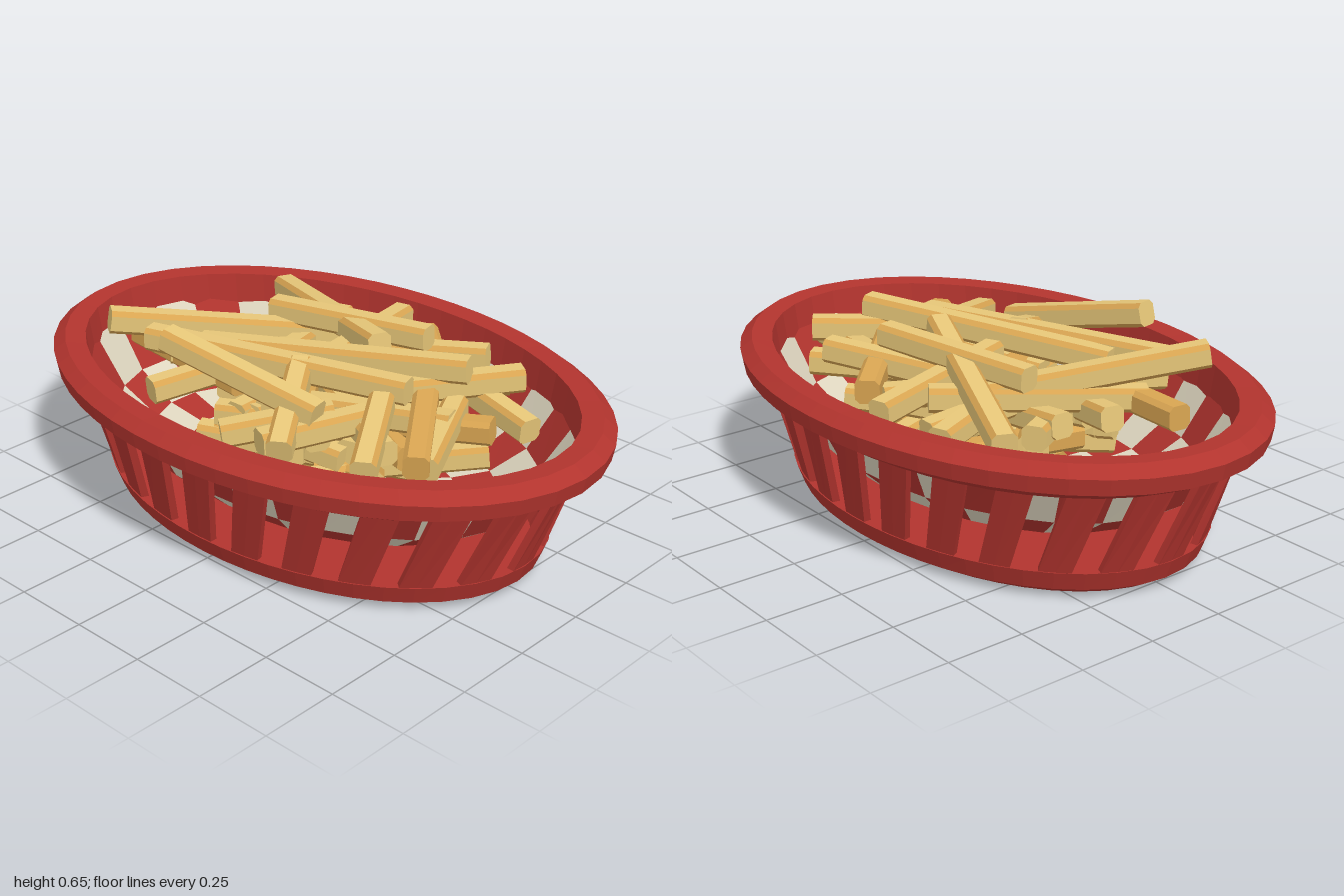
import * as THREE from 'three';

const mat = (name, color, side = THREE.FrontSide) => {
  const m = new THREE.MeshStandardMaterial({ color, flatShading: true, side });
  m.name = name;
  return m;
};

// Ellipse angle for a fraction of the way round, with even steps along the edge
const STEPS = 720, arc = [0];
for (let i = 0; i < STEPS; i++) {
  const t = ((i + 0.5) / STEPS) * Math.PI * 2;
  arc.push(arc[i] + Math.hypot(0.86 * Math.cos(t), 0.57 * Math.sin(t)));
}
function angleAt(fraction) {
  const turns = Math.floor(fraction), s = (fraction - turns) * arc[STEPS];
  let i = 0;
  while (i < STEPS - 1 && arc[i + 1] < s) i++;
  return (turns + (i + (s - arc[i]) / (arc[i + 1] - arc[i])) / STEPS) * Math.PI * 2;
}

// Elliptical loft through rings [rx, rz, y]; keep(i, j) picks the cells to build
function loft(rings, segs, keep = () => true) {
  const pos = [];
  const at = (j, i) => {
    const t = angleAt(i / segs), [rx, rz, y] = rings[j];
    return [rx * Math.sin(t), y, rz * Math.cos(t)];
  };
  for (let j = 0; j < rings.length - 1; j++) {
    for (let i = 0; i < segs; i++) {
      if (!keep(i, j)) continue;
      const a = at(j, i), b = at(j, i + 1), c = at(j + 1, i + 1), d = at(j + 1, i);
      if (rings[j][0] > 0) pos.push(...a, ...b, ...c);
      if (rings[j + 1][0] > 0) pos.push(...a, ...c, ...d);
    }
  }
  const g = new THREE.BufferGeometry();
  g.setAttribute('position', new THREE.Float32BufferAttribute(pos, 3));
  g.computeVertexNormals();
  return g;
}

// Slanted slat: a box bent onto the sloping elliptical wall
function slatGeometry(start) {
  const g = new THREE.BoxGeometry(1, 1, 1, 2, 1, 1), p = g.attributes.position;
  for (let i = 0; i < p.count; i++) {
    const h = p.getY(i) + 0.5, off = (p.getZ(i) - 0.5) * 0.025;
    const t = angleAt(start + p.getX(i) * 0.0225 + h * 0.0145);
    p.setXYZ(i,
      (0.805 + 0.1 * h + off) * Math.sin(t),
      0.08 + 0.29 * h,
      (0.53 + 0.075 * h + off) * Math.cos(t));
  }
  g.computeVertexNormals();
  return g;
}

// Square stick one unit long along z, with the four cut corners as material 1
function fryGeometry() {
  const a = 0.038, c = 0.024, s = new THREE.Shape();
  [[a, -c], [a, c], [c, a], [-c, a], [-a, c], [-a, -c], [-c, -a], [c, -a]]
    .forEach(([x, y], i) => (i ? s.lineTo(x, y) : s.moveTo(x, y)));
  const g = new THREE.ExtrudeGeometry(s, { depth: 1, bevelEnabled: false }).translate(0, 0, -0.5);
  const first = g.groups[1].start;
  g.clearGroups();
  g.addGroup(0, first, 0);
  for (let i = 0; i < 8; i++) g.addGroup(first + i * 6, 6, i % 2);
  return g;
}

export function createModel() {
  const model = new THREE.Group();
  const red = mat('basket red', 0xb2342e);
  const linerRed = mat('liner red', 0xb2342e, THREE.DoubleSide);
  const cream = mat('liner cream', 0xdfd7c0, THREE.DoubleSide);
  const potato = mat('fried potato', 0xe6c678);
  const golden = mat('golden potato', 0xd9a552);
  const add = (name, geo, material, parent = model) => {
    const m = new THREE.Mesh(geo, material);
    m.name = name;
    parent.add(m);
    return m;
  };
  const group = (name) => {
    const g = new THREE.Group();
    g.name = name;
    model.add(g);
    return g;
  };

  // Basket base tray and rim
  add('base', loft([[0, 0, 0], [0.74, 0.465, 0], [0.79, 0.515, 0.03], [0.812, 0.537, 0.09],
    [0.785, 0.51, 0.09], [0.76, 0.48, 0.04], [0, 0, 0.04]], 48), red);
  add('rim', loft([[0.872, 0.565, 0.36], [0.91, 0.61, 0.36], [0.99, 0.672, 0.4], [1, 0.68, 0.45],
    [0.958, 0.643, 0.48], [0.892, 0.577, 0.475], [0.872, 0.565, 0.36]], 48), red);

  // Slatted wall
  const slats = group('slats');
  for (let i = 0; i < 24; i++) add('slat', slatGeometry(i / 24), red, slats);

  // Checkered paper liner, tucked into the rim
  const liner = [[0, 0, 0.1], [0.14, 0.08, 0.1], [0.26, 0.15, 0.1], [0.38, 0.225, 0.105], [0.51, 0.31, 0.115],
    [0.65, 0.41, 0.145], [0.78, 0.5, 0.23], [0.888, 0.582, 0.4]];
  add('linerRedChecks', loft(liner, 30, (i, j) => (i + j) % 2 === 0), linerRed);
  add('linerCreamChecks', loft(liner, 30, (i, j) => (i + j) % 2 === 1), cream);

  // Fries
  const fries = group('fries'), fryGeo = fryGeometry();
  let count = 0;
  const fry = (x1, y1, z1, x2, y2, z2) => {
    const a = new THREE.Vector3(x1, y1, z1), b = new THREE.Vector3(x2, y2, z2);
    const m = add('fry', fryGeo, [count++ % 6 === 5 ? golden : potato, golden], fries);
    m.position.copy(a).lerp(b, 0.5);
    m.scale.z = a.distanceTo(b);
    m.lookAt(b);
  };

  // Top layer, laid by hand
  [
    [-0.55, 0.46, -0.40, 0.16, 0.56, -0.09],
    [-0.33, 0.53, -0.13, 0.22, 0.55, -0.25],
    [-0.11, 0.45, -0.51, 0.02, 0.49, 0.02],
    [-0.31, 0.41, -0.44, -0.18, 0.45, -0.05],
    [-0.22, 0.40, -0.42, -0.24, 0.44, 0.0],
    [0.05, 0.45, -0.44, 0.36, 0.48, -0.14],
    [0.36, 0.49, -0.37, -0.05, 0.46, -0.17],
    [0.54, 0.50, -0.31, 0.30, 0.49, 0.02],
    [0.68, 0.42, -0.17, 0.25, 0.46, -0.26],
    [0.47, 0.56, -0.14, -0.32, 0.51, 0.20],
    [0.38, 0.52, 0.03, -0.45, 0.53, 0.30],
    [-0.66, 0.44, 0.16, -0.15, 0.43, 0.20],
    [-0.57, 0.57, 0.36, -0.20, 0.46, -0.20],
    [-0.27, 0.61, 0.39, 0.25, 0.49, 0.28],
    [0.04, 0.53, 0.13, 0.25, 0.43, 0.44],
    [0.30, 0.44, 0.12, 0.17, 0.43, 0.44],
    [0.33, 0.49, 0.09, 0.51, 0.43, 0.37],
    [0.60, 0.43, 0.25, 0.33, 0.48, -0.12],
    [0.44, 0.44, -0.12, 0.60, 0.41, 0.21],
    [0.02, 0.41, 0.45, 0.22, 0.45, 0.18],
    [-0.33, 0.42, 0.41, -0.22, 0.45, 0.08],
    [-0.48, 0.44, 0.20, -0.12, 0.46, -0.34],
    [0.44, 0.43, -0.38, 0.06, 0.42, -0.05],
  ].forEach((f) => fry(...f));

  // Lower pile
  let seed = 11;
  const rnd = () => (seed = (seed * 16807) % 2147483647) / 2147483647;
  for (let i = 0; i < 44; i++) {
    const h = i / 43, y = 0.19 + 0.23 * h, yaw = rnd() * Math.PI;
    const half = 0.21 + 0.11 * rnd();
    const r = Math.sqrt(rnd()), t = rnd() * Math.PI * 2;
    const dx = Math.cos(yaw) * half, dz = Math.sin(yaw) * half * 0.8, dy = (rnd() - 0.5) * 0.07;
    const cx = Math.sin(t) * r * 0.32, cz = Math.cos(t) * r * 0.16;
    fry(cx - dx, y - dy, cz - dz, cx + dx, y + dy, cz + dz);
  }
  return model;
}
